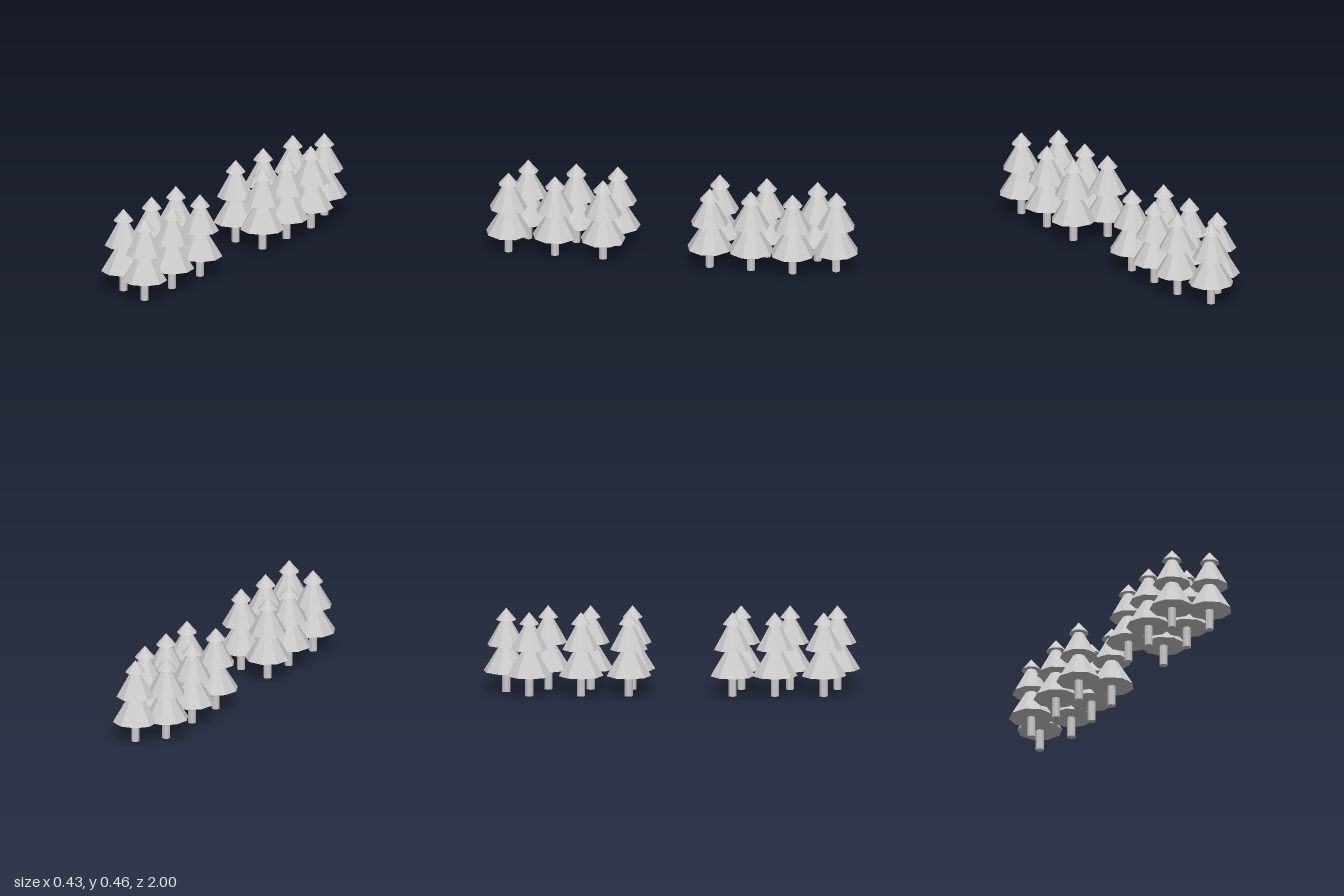
import * as THREE from 'three';

const SIDES = 9;
const material = new THREE.MeshStandardMaterial({ color: 0xcccccc, flatShading: true });

// Tree positions and turn: x, z, degrees
const TREES = [
  [0.024, -0.88, 10],
  [-0.094, -0.757, -5], [0.094, -0.657, -2],
  [-0.094, -0.482, -5], [0.094, -0.431, -2],
  [-0.094, -0.228, -5], [0.094, -0.208, -2],
  [-0.094, 0.325, -5], [0.094, 0.37, -2],
  [-0.094, 0.55, -5], [0.094, 0.63, -2],
  [-0.094, 0.81, -5], [0.094, 0.882, -2],
];

// Foliage cones: name, base height, tip height, radius
const TIERS = [
  ['lowerFoliage', 0.113, 0.31, 0.121],
  ['middleFoliage', 0.255, 0.435, 0.102],
  ['topFoliage', 0.39, 0.455, 0.054],
];
const TRUNK_TOP = 0.12;

function addPart(parent, name, geometry, bottom, height) {
  const mesh = new THREE.Mesh(geometry, material);
  mesh.name = name;
  mesh.position.y = bottom + height / 2;
  parent.add(mesh);
}

function createTree() {
  const tree = new THREE.Group();
  // Trunk reaches just inside the lowest cone
  addPart(tree, 'trunk', new THREE.CylinderGeometry(0.022, 0.022, TRUNK_TOP, SIDES), 0, TRUNK_TOP);
  // Stacked foliage tiers
  for (const [name, base, tip, radius] of TIERS) {
    addPart(tree, name, new THREE.ConeGeometry(radius, tip - base, SIDES), base, tip - base);
  }
  return tree;
}

export function createModel() {
  const grove = new THREE.Group();
  grove.name = 'treeRows';
  const prototype = createTree();
  TREES.forEach(([x, z, turn], i) => {
    const tree = prototype.clone();
    tree.name = `tree${i + 1}`;
    tree.position.set(x, 0, z);
    tree.rotation.y = THREE.MathUtils.degToRad(turn);
    grove.add(tree);
  });
  return grove;
}
